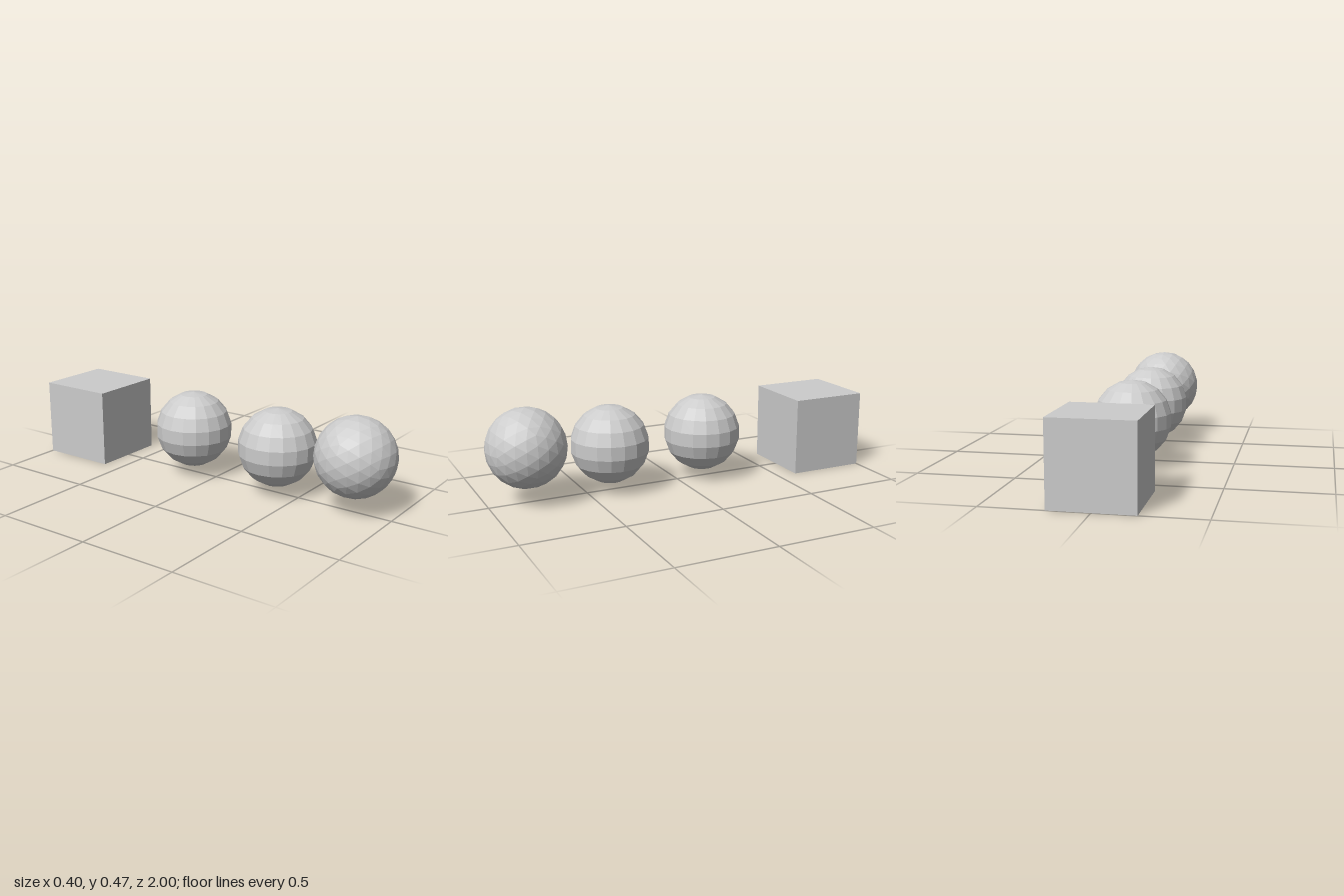
import * as THREE from 'three';

const RADIUS = 0.198;
const SIDE = 0.397;

export function createModel() {
  const model = new THREE.Group();
  const material = new THREE.MeshStandardMaterial({ color: 0xcccccc, flatShading: true });

  const add = (name, geometry, y, z) => {
    const mesh = new THREE.Mesh(geometry, material);
    mesh.name = name;
    mesh.position.set(0, y, z);
    model.add(mesh);
  };

  // Faceted triangle ball at the front, turned so an edge lies level facing +z
  add('frontTriangleBall', new THREE.IcosahedronGeometry(RADIUS, 3).rotateY(Math.PI / 2), 0.276, 0.802);

  // Two banded balls in the middle of the row
  const bandedBall = new THREE.SphereGeometry(RADIUS, 18, 9);
  add('frontBandedBall', bandedBall, 0.241, 0.373);
  add('rearBandedBall', bandedBall, 0.241, -0.142);

  // Cube at the back, resting on the ground
  add('rearCube', new THREE.BoxGeometry(SIDE, SIDE, SIDE), SIDE / 2, -1 + SIDE / 2);

  return model;
}
